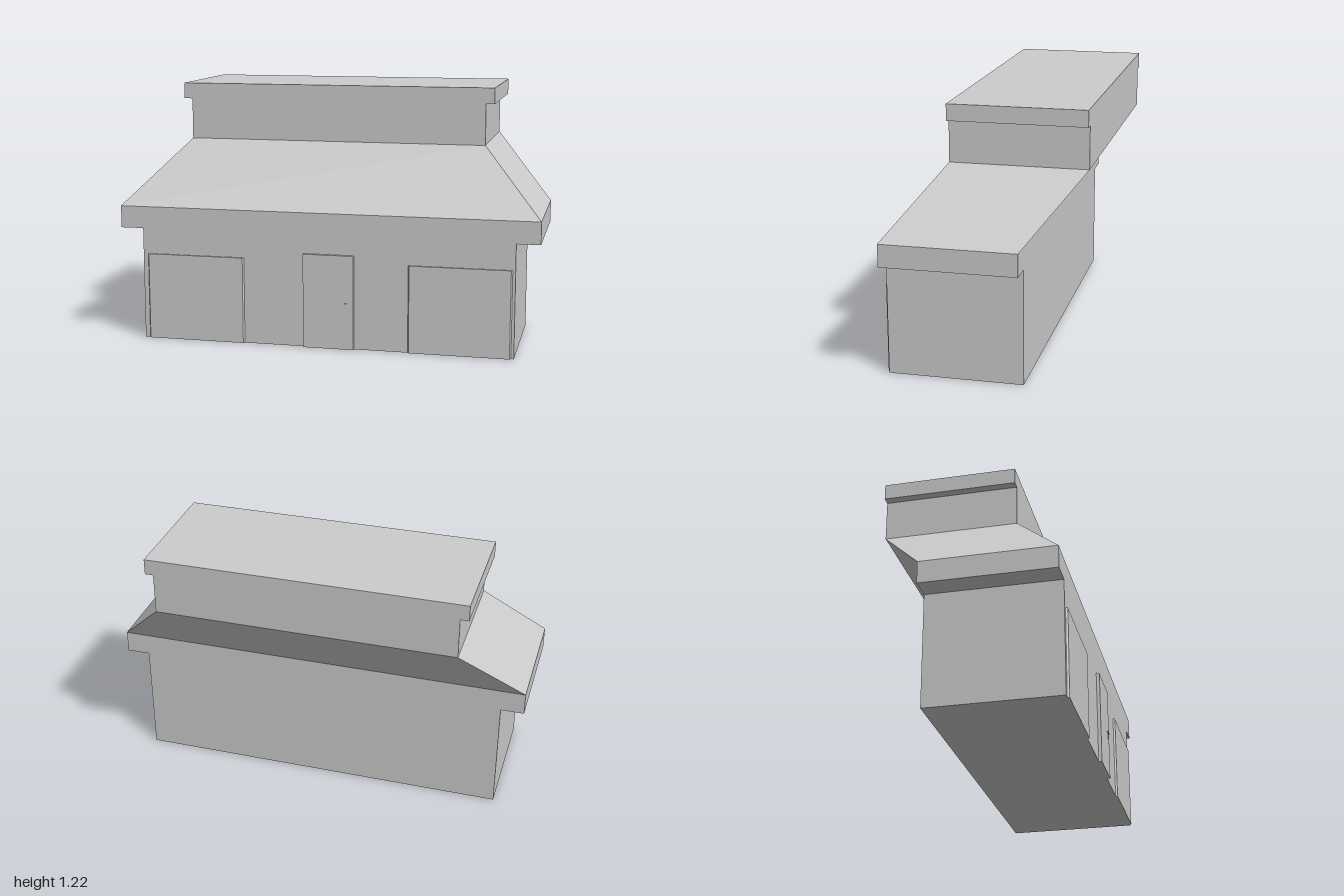
import * as THREE from 'three';

const material = new THREE.MeshStandardMaterial({ color: 0xcccccc, flatShading: true });

// Box whose top rectangle may differ from its bottom one; rectangles are [x0, x1, z0, z1]
function tier(name, y0, y1, bottom, top = bottom) {
  const geo = new THREE.BoxGeometry(1, 1, 1);
  const p = geo.attributes.position;
  for (let i = 0; i < p.count; i++) {
    const up = p.getY(i) > 0;
    const r = up ? top : bottom;
    p.setXYZ(i, p.getX(i) > 0 ? r[1] : r[0], up ? y1 : y0, p.getZ(i) > 0 ? r[3] : r[2]);
  }
  geo.computeVertexNormals();
  const mesh = new THREE.Mesh(geo, material);
  mesh.name = name;
  return mesh;
}

// Door leaf on the front wall, its vertical edges bevelled towards the front
function doorPanel(name, x0, x1, height, zFront, bevel) {
  const shape = new THREE.Shape([
    new THREE.Vector2(x0, -0.42),
    new THREE.Vector2(x1, -0.42),
    new THREE.Vector2(x1 - bevel, -zFront),
    new THREE.Vector2(x0 + bevel, -zFront),
  ].reverse());
  const geo = new THREE.ExtrudeGeometry(shape, { depth: height, bevelEnabled: false });
  geo.rotateX(-Math.PI / 2);
  const mesh = new THREE.Mesh(geo, material);
  mesh.name = name;
  return mesh;
}

export function createModel() {
  const model = new THREE.Group();
  model.name = 'building';

  // Lower storey footprint and upper storey footprint, which sits further back
  const lower = (w) => [-w, w, -0.195, 0.425];
  const upper = (w) => [-w, w, -0.445, 0.18];

  model.add(
    tier('lowerWalls', 0, 0.535, lower(0.89)),
    tier('eaves', 0.535, 0.64, lower(1)),
    tier('slopedRoof', 0.64, 0.947, lower(1), upper(0.715)),
    tier('upperWalls', 0.947, 1.14, upper(0.715)),
    tier('topCap', 1.14, 1.215, upper(0.755)),
  );

  // Two wide garage doors and the entrance between them
  model.add(
    doorPanel('rightGarageDoor', -0.87, -0.385, 0.413, 0.434, 0.009),
    doorPanel('leftGarageDoor', 0.395, 0.88, 0.413, 0.434, 0.009),
    doorPanel('entranceDoor', -0.1, 0.145, 0.447, 0.44, 0.002),
  );

  // Entrance door handle: upright plate and short lever
  const handle = new THREE.Group();
  handle.name = 'doorHandle';
  handle.add(
    tier('handlePlate', 0.192, 0.232, [0.112, 0.122, 0.438, 0.443]),
    tier('handleLever', 0.214, 0.222, [0.085, 0.122, 0.441, 0.446]),
  );
  model.add(handle);

  return model;
}
